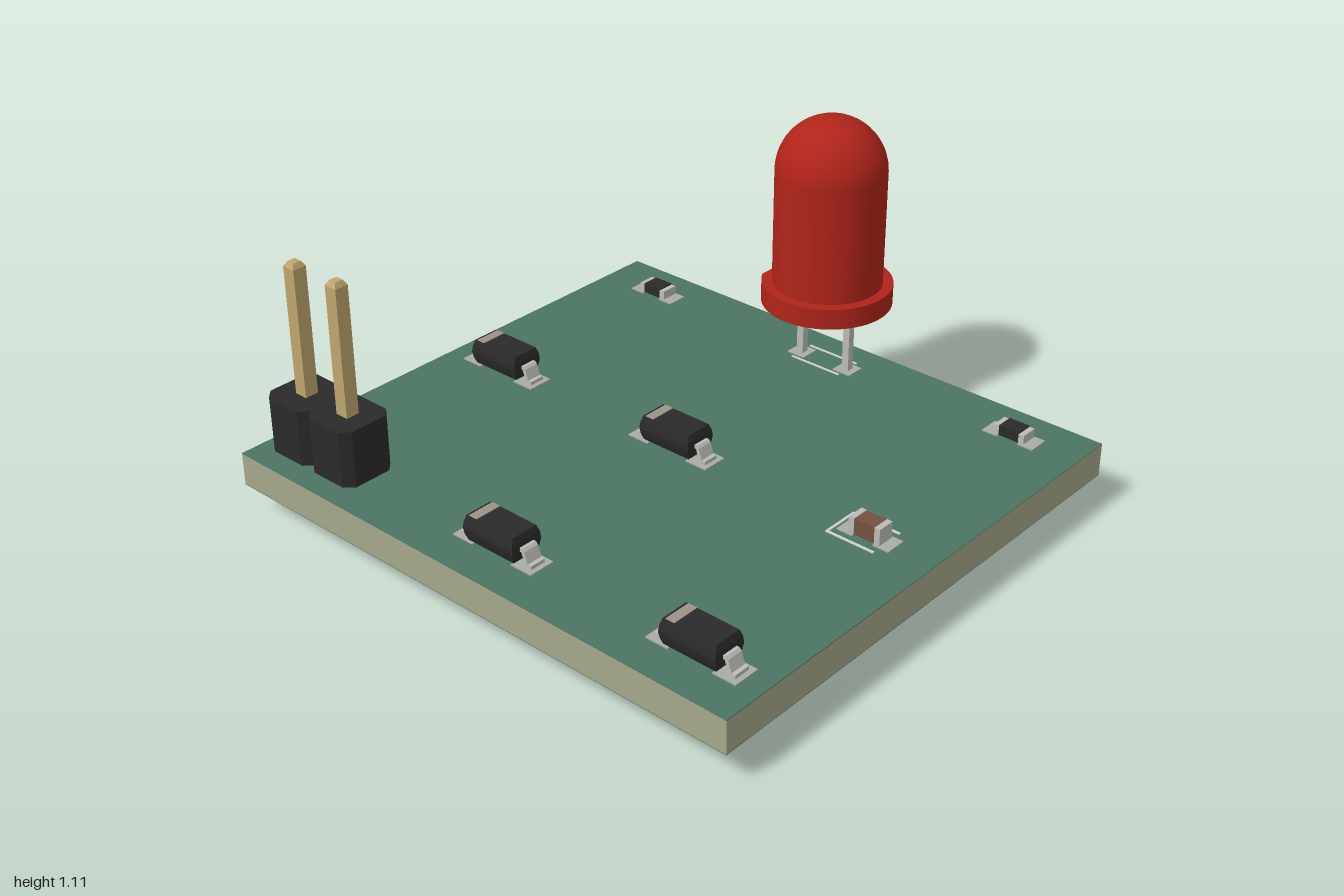
import * as THREE from 'three';

const mat = (color, flatShading = true) => new THREE.MeshStandardMaterial({ color, flatShading });
const M = {
  green: mat(0x4c7563), edge: mat(0xa5a78a), black: mat(0x2a2a2a), metal: mat(0xbcbcb6),
  gold: mat(0xc0a670), red: mat(0xb0241a, false), redFlat: mat(0xb0241a), pad: mat(0xa9aba5),
  band: mat(0x9c9484), brown: mat(0x75503f), silk: mat(0xd0d4cf),
};
const TOP = 0.226; // upper face of the board
const BOTTOM = 0.11;

function add(parent, name, geometry, material, x = 0, y = 0, z = 0) {
  const mesh = new THREE.Mesh(geometry, material);
  mesh.name = name;
  mesh.position.set(x, y, z);
  parent.add(mesh);
  return mesh;
}
const box = (parent, name, w, h, d, material, x, y, z) =>
  add(parent, name, new THREE.BoxGeometry(w, h, d), material, x, y, z);

function group(parent, name, x, z) {
  const g = new THREE.Group();
  g.name = name;
  g.position.set(x, 0, z);
  parent.add(g);
  return g;
}

// Outline in x and z, raised along y from 0
function slab(shape, height) {
  const g = new THREE.ExtrudeGeometry(shape, { depth: height, bevelEnabled: false, curveSegments: 48 });
  return g.rotateX(-Math.PI / 2);
}
const polygon = pts => new THREE.Shape(pts.map(p => new THREE.Vector2(...p)));

// Pair of solder pads spanning inner..outer on both sides
function pads(parent, inner, outer, depth) {
  for (const s of [-1, 1])
    box(parent, 'solderPad', outer - inner, 0.004, depth, M.pad, s * (inner + outer) / 2, TOP + 0.002, 0);
}

// Box body, widest at mid height
function mouldedBody() {
  const g = new THREE.BoxGeometry(0.205, 0.086, 0.118, 1, 4, 1);
  const p = g.attributes.position;
  const inset = [0.012, 0.004, 0, 0.003, 0.011];
  for (let i = 0; i < p.count; i++) {
    const d = inset[Math.round((p.getY(i) / 0.086 + 0.5) * 4)];
    p.setX(i, p.getX(i) - Math.sign(p.getX(i)) * d * 0.7);
    p.setZ(i, p.getZ(i) - Math.sign(p.getZ(i)) * d);
  }
  g.computeVertexNormals();
  return g;
}

function diode(parent, x, z) {
  const g = group(parent, 'diode', x, z);
  add(g, 'diodeBody', mouldedBody(), M.black, 0, 0.283, 0);
  box(g, 'cathodeBand', 0.032, 0.004, 0.094, M.band, -0.07, 0.326, 0);
  pads(g, 0.08, 0.162, 0.092);
  // Bent leads
  const profile = polygon([[0.08, 0.275], [0.108, 0.275], [0.12, 0.236], [0.128, 0.23], [0.145, 0.23],
    [0.145, 0.242], [0.132, 0.243], [0.12, 0.28], [0.112, 0.288], [0.08, 0.288]]);
  const lead = new THREE.ExtrudeGeometry(profile, { depth: 0.056, bevelEnabled: false }).translate(0, 0, -0.028);
  for (const turn of [0, Math.PI]) add(g, 'diodeLead', lead, M.metal).rotation.y = turn;
}

// Surface mount chip with metal end caps
function chip(parent, name, x, z, height, material) {
  const g = group(parent, name, x, z);
  const y = TOP + 0.004 + height / 2;
  const isResistor = material === M.black;
  box(g, name + 'Body', 0.076, height, 0.06, material, 0, y, 0);
  for (const s of [-1, 1])
    box(g, 'endCap', 0.02, height - (isResistor ? 0.003 : -0.002), 0.062, M.metal, s * 0.047, y, 0);
  if (isResistor) box(g, 'resistorCoat', 0.074, 0.004, 0.064, M.black, 0, y + height / 2, 0);
  pads(g, 0.038, 0.095, 0.075);
}

function led(parent, x, z) {
  const g = group(parent, 'led', x, z);
  // Lens: cylinder with a domed top
  const R = 0.185, shoulder = 0.93;
  const side = new THREE.CylinderGeometry(R, R, shoulder - 0.53, 48, 1, true);
  add(g, 'lensSide', side, M.red, 0, (shoulder + 0.53) / 2, 0);
  add(g, 'lensDome', new THREE.SphereGeometry(R, 48, 16, 0, Math.PI * 2, 0, Math.PI / 2), M.red, 0, shoulder, 0);
  // Flange with one flat side
  const a = Math.acos(0.192 / 0.22);
  const outline = new THREE.Shape().absarc(0, 0, 0.22, -Math.PI + a, Math.PI - a, false);
  add(g, 'lensFlange', slab(outline, 0.072), M.redFlat, 0, 0.46, 0);
  for (const s of [-1, 1]) {
    box(g, 'ledLead', 0.026, 0.424, 0.026, M.metal, s * 0.097, 0.252, 0);
    box(g, 'leadPad', 0.07, 0.003, 0.07, M.pad, s * 0.097, TOP + 0.0015, 0);
    box(g, 'ledMarking', 0.2, 0.003, 0.008, M.silk, 0, TOP + 0.0015, s * 0.05);
  }
}

function header(parent, x, z) {
  const g = group(parent, 'pinHeader', x, z);
  const h = 0.0965, c = 0.03;
  // One chamfered block per pin
  const block = slab(polygon([[-h, -h + c], [-h + c, -h], [h - c, -h], [h, -h + c],
    [h, h - c], [h - c, h], [-h + c, h], [-h, h - c]]), 0.195);
  const r = 0.024 * Math.SQRT2, t = 0.014 * Math.SQRT2;
  const pin = new THREE.LatheGeometry([[0, 0.002], [t, 0.002], [r, 0.018], [r, 0.865], [t, 0.882], [0, 0.882]]
    .map(p => new THREE.Vector2(...p)), 4, Math.PI / 4);
  for (const s of [-1, 1]) {
    add(g, 'headerBlock', block, M.black, s * h, 0.23, 0);
    add(g, 'headerPin', pin, M.gold, s * h, 0, 0);
    add(g, 'pinPad', new THREE.CylinderGeometry(0.055, 0.055, 0.004, 8), M.pad, s * h, BOTTOM - 0.002, 0);
  }
}

export function createModel() {
  const model = new THREE.Group();
  model.name = 'circuitBoard';

  // Board core with coloured faces
  const D = 1.84, zc = 0.036;
  box(model, 'boardCore', 2, 0.112, D, M.edge, 0, (TOP + BOTTOM) / 2, zc);
  box(model, 'boardTop', 2, 0.003, D, M.green, 0, TOP - 0.0015, zc);
  box(model, 'boardUnderside', 2, 0.003, D, M.green, 0, BOTTOM + 0.0015, zc);

  led(model, 0, -0.737);
  header(model, -0.763, 0.787);
  for (const [x, z] of [[-0.765, 0.025], [0, 0.025], [0, 0.787], [0.765, 0.787]]) diode(model, x, z);
  for (const s of [-1, 1]) chip(model, 'resistor', s * 0.763, -0.737, 0.034, M.black);
  chip(model, 'capacitor', 0.763, 0.025, 0.055, M.brown);

  // Bracket printed around the capacitor
  const y = TOP + 0.0015;
  box(model, 'bracketMarking', 0.009, 0.003, 0.138, M.silk, 0.654, y, 0.025);
  for (const z of [-0.04, 0.09]) box(model, 'bracketMarking', 0.175, 0.003, 0.009, M.silk, 0.738, y, z);

  return model;
}
